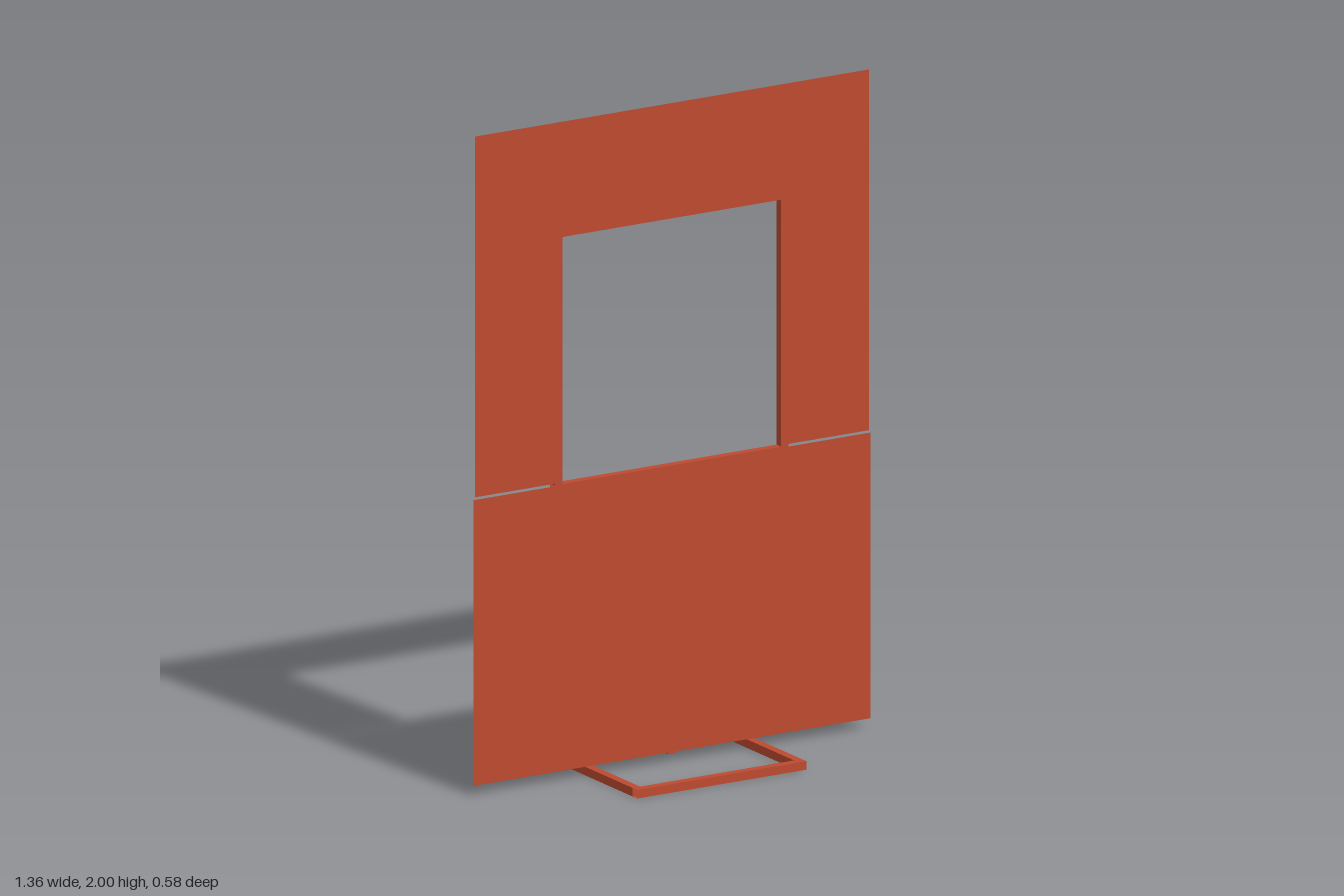
import * as THREE from 'three';

export function createModel() {
  const model = new THREE.Group();
  model.name = 'signStand';
  const paint = new THREE.MeshStandardMaterial({ color: 0xbd4a30, side: THREE.DoubleSide });
  paint.name = 'brick red paint';
  const T = 0.026; // square tube size

  // Open-ended square tube along one axis, centred on (x, y, z)
  function tube(parent, name, axis, length, x, y, z) {
    const g = new THREE.CylinderGeometry(T * Math.SQRT1_2, T * Math.SQRT1_2, length, 4, 1, true);
    g.rotateY(Math.PI / 4);
    if (axis === 'x') g.rotateZ(Math.PI / 2);
    if (axis === 'z') g.rotateX(Math.PI / 2);
    const flat = g.toNonIndexed();
    flat.computeVertexNormals();
    const mesh = new THREE.Mesh(flat, paint);
    mesh.name = name;
    mesh.position.set(x, y, z);
    parent.add(mesh);
  }

  // Floor frame
  const base = new THREE.Group();
  base.name = 'baseFrame';
  const b = 0.29 - T / 2;
  for (const s of [-1, 1]) {
    tube(base, s > 0 ? 'frontBaseBar' : 'backBaseBar', 'x', 0.58, 0, T / 2, s * b);
    tube(base, s > 0 ? 'leftBaseBar' : 'rightBaseBar', 'z', 0.53, s * b, T / 2, 0);
  }
  model.add(base);

  // Central post
  tube(model, 'post', 'y', 0.865, 0, 0.4575, 0);

  // Window frame
  const frame = new THREE.Group();
  frame.name = 'windowFrame';
  tube(frame, 'windowTopBar', 'x', 0.802, 0, 1.65 + T / 2, 0);
  tube(frame, 'windowBottomBar', 'x', 0.802, 0, 0.90 - T / 2, 0);
  for (const s of [-1, 1]) {
    tube(frame, s > 0 ? 'windowLeftBar' : 'windowRightBar', 'y', 0.75, s * (0.375 + T / 2), 1.275, 0);
  }
  model.add(frame);

  // Sheet panels on the front of the tubes
  function panel(name, points) {
    const shape = new THREE.Shape(points.map(([x, y]) => new THREE.Vector2(x, y)));
    const mesh = new THREE.Mesh(new THREE.ShapeGeometry(shape), paint);
    mesh.name = name;
    mesh.position.z = T / 2 + 0.001;
    model.add(mesh);
  }
  panel('lowerPanel', [[-0.68, 0.03], [0.68, 0.03], [0.68, 0.897], [-0.68, 0.897]]);
  panel('upperPanel', [
    [-0.675, 0.905], [-0.375, 0.905], [-0.375, 1.65], [0.375, 1.65],
    [0.375, 0.905], [0.675, 0.905], [0.675, 2], [-0.675, 2],
  ]);

  return model;
}
